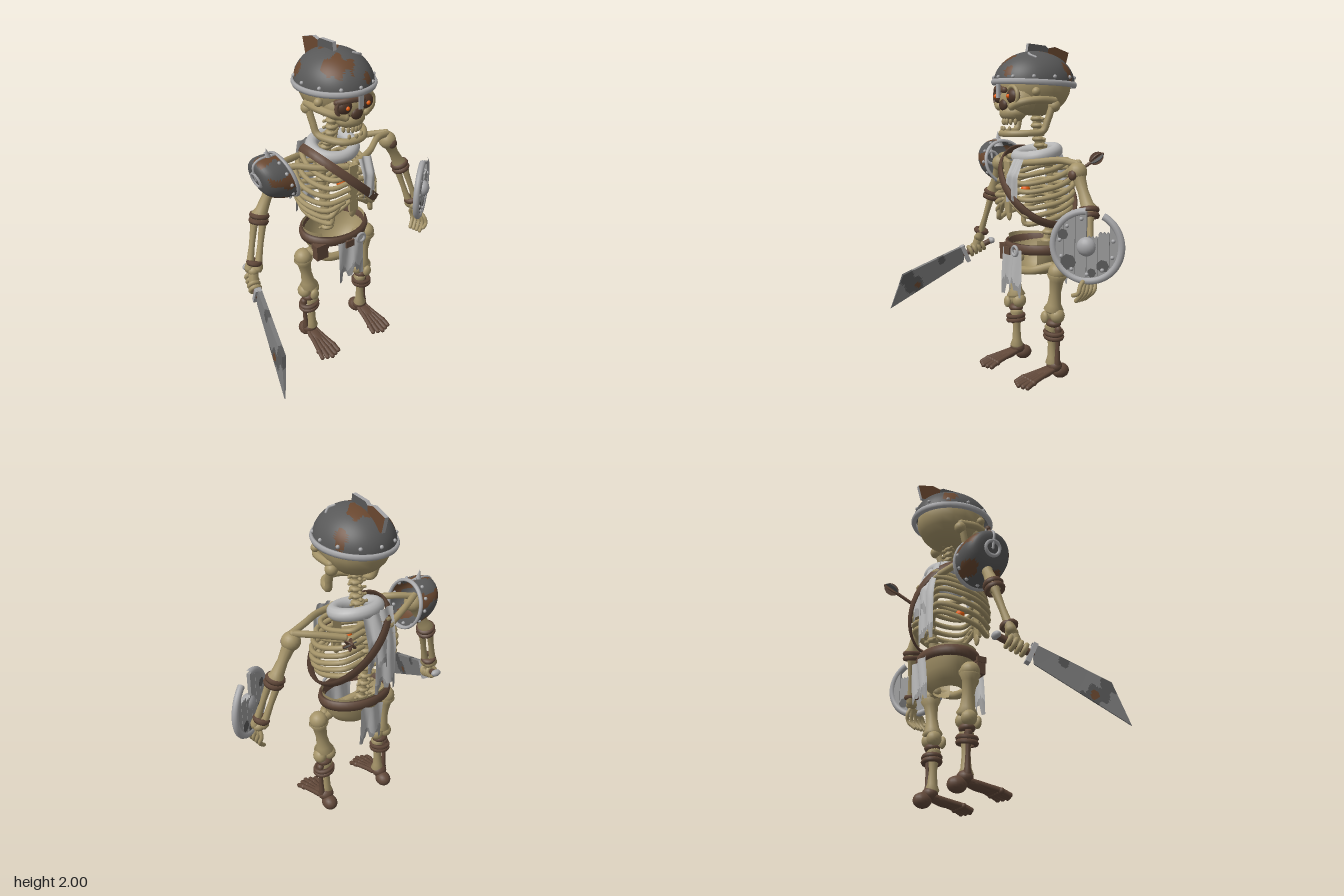
import * as THREE from 'three';
import { mergeGeometries } from 'three/addons/utils/BufferGeometryUtils.js';

const V = (x, y, z) => new THREE.Vector3(x, y, z);
const UP = V(0, 1, 0);

export function createModel() {
  const root = new THREE.Group();
  const mat = (name, color, side = THREE.FrontSide) => {
    const m = new THREE.MeshStandardMaterial({ color, side });
    m.name = name;
    return m;
  };
  const bone = mat('bone', 0xa59469, THREE.DoubleSide), brown = mat('leather brown', 0x614839);
  const iron = mat('dark iron', 0x585858, THREE.DoubleSide), rust = mat('rust', 0x69472f, THREE.DoubleSide);
  const steel = mat('light steel', 0xa6a6a8), cloth = mat('pale cloth', 0xb8b8b8, THREE.DoubleSide);
  const plank = mat('grey plank', 0x989898, THREE.DoubleSide), blade = mat('blade grey', 0x7c7c7c);
  const socket = mat('socket brown', 0x4f382b), glow = mat('ember orange', 0xff6a10);

  const add = (name, geo, m, parent = root) => {
    const mesh = new THREE.Mesh(geo, m);
    mesh.name = name;
    parent.add(mesh);
    return mesh;
  };
  const ball = (name, m, p, rx, ry = rx, rz = rx, parent = root) => {
    const mesh = add(name, new THREE.SphereGeometry(1, 18, 12), m, parent);
    mesh.position.copy(p);
    mesh.scale.set(rx, ry, rz);
    return mesh;
  };
  const tube = (name, m, pts, r, seg = 20) => {
    const geo = new THREE.TubeGeometry(new THREE.CatmullRomCurve3(pts), seg, r, 8);
    const cap = p => new THREE.SphereGeometry(r, 8, 6).translate(p.x, p.y, p.z);
    return add(name, mergeGeometries([geo, cap(pts[0]), cap(pts[pts.length - 1])]), m);
  };
  // Straight bone, swollen at both ends
  const longBone = (name, m, a, b, r) => {
    const L = a.distanceTo(b);
    const prof = [[0, -.05], [1.1, -.03], [1.5, .04], [1.05, .18], [.85, .5], [1.05, .82], [1.5, .96], [1.1, 1.03], [0, 1.05]];
    const mesh = add(name, new THREE.LatheGeometry(prof.map(p => new THREE.Vector2(p[0] * r, p[1] * L)), 14), m);
    mesh.position.copy(a);
    mesh.quaternion.setFromUnitVectors(UP, b.clone().sub(a).normalize());
  };
  // Flat oval hoop around an axis
  const hoop = (name, m, p, axis, rx, rz, h, t = .02) => {
    const pts = [[1 - t / rx, -h], [1, -h], [1 + t / rx * .3, 0], [1, h], [1 - t / rx, h], [1 - t / rx, -h]];
    const mesh = add(name, new THREE.LatheGeometry(pts.map(q => new THREE.Vector2(q[0], q[1])), 40), m);
    mesh.scale.set(rx, 1, rz);
    mesh.position.copy(p);
    mesh.quaternion.setFromUnitVectors(UP, axis.clone().normalize());
  };
  // Sort triangles into material groups by their centre
  const patchy = (geo, count, pick) => {
    const pos = geo.attributes.position, idx = geo.index.array, lists = Array.from({ length: count }, () => []);
    for (let i = 0; i < idx.length; i += 3) {
      const c = V(0, 0, 0);
      for (let k = 0; k < 3; k++) c.add(new THREE.Vector3().fromBufferAttribute(pos, idx[i + k]));
      lists[pick(c.divideScalar(3))].push(idx[i], idx[i + 1], idx[i + 2]);
    }
    geo.setIndex(lists.flat());
    geo.clearGroups();
    let start = 0;
    lists.forEach((l, i) => { geo.addGroup(start, l.length, i); start += l.length; });
    return geo;
  };
  const near = (p, spots) => spots.some(([x, y, z, r]) =>
    p.distanceTo(V(x, y, z)) < r * (1 + .25 * Math.sin(p.x * 70 + p.z * 40) + .15 * Math.sin(p.z * 90)));
  // Hanging rag with a torn, soiled lower edge
  const rag = (name, x0, x1, top, bottom, zAt, tear) => {
    const geo = new THREE.PlaneGeometry(1, 1, 16, 16), p = geo.attributes.position;
    for (let i = 0; i < p.count; i++) {
      const u = p.getX(i) + .5, t = .5 - p.getY(i), col = Math.floor(u * 5.99);
      const low = bottom + tear * ((col * 3) % 5) / 4;
      p.setXYZ(i, x0 + (x1 - x0) * u, top + (low - top) * t, zAt(t) + .01 * Math.sin(u * 10 + t * 2));
    }
    geo.computeVertexNormals();
    const soil = c => c.y < bottom + tear * 1.1 + .025 * Math.sin(c.x * 75) ? 1 : 0;
    add(name, patchy(geo, 2, soil), [cloth, blade2]);
  };
  const blade2 = plank;

  // Skull
  ball('cranium', bone, V(0, 1.755, -.145), .197, .18, .215);
  ball('face', bone, V(0, 1.67, -.02), .145, .1, .105);
  ball('upper jaw', bone, V(0, 1.595, .015), .09, .055, .075);
  ball('nose hole', socket, V(0, 1.64, .078), .038, .034, .02);
  for (const s of [-1, 1]) {
    ball('eye socket', socket, V(s * .072, 1.69, .055), .052, .045, .036);
    ball('eye', glow, V(s * .07, 1.69, .088), .013);
    add('socket rim', new THREE.TorusGeometry(.055, .012, 8, 24), s < 0 ? brown : bone).position.set(s * .072, 1.69, .062);
    tube('cheekbone', bone, [V(s * .07, 1.63, .065), V(s * .13, 1.655, .04), V(s * .175, 1.67, -.05), V(s * .17, 1.665, -.16)], .023);
    ball('jaw joint', bone, V(s * .165, 1.635, -.165), .036);
    ball('temple', bone, V(s * .18, 1.715, -.03), .025);
  }
  tube('brow', brown, [V(-.12, 1.725, .055), V(-.06, 1.735, .085), V(.03, 1.725, .09)], .018);
  const jaw = [[.165, 1.63, -.15], [.155, 1.55, -.125], [.145, 1.49, -.1], [.115, 1.478, -.01], [.06, 1.475, .055]];
  tube('jaw', bone, [...jaw.map(p => V(-p[0], p[1], p[2])), V(0, 1.475, .07), ...jaw.reverse().map(p => V(...p))], .021, 48);
  for (let i = -3; i <= 3; i++) {
    ball('upper tooth', bone, V(i * .02, 1.545, .07 - i * i * .004), .011, .02, .011);
    if (i % 2 === 0) ball('lower tooth', bone, V(i * .021, 1.503, .075 - i * i * .003), .011, .016, .01);
  }

  // Helmet
  const dome = new THREE.SphereGeometry(1, 56, 28, 0, Math.PI * 2, 0, Math.PI / 2).scale(.215, .19, .25).translate(0, 1.765, -.135);
  add('helmet dome', patchy(dome, 2, p => near(p, [[-.07, 1.9, 0, .075], [.03, 1.95, -.2, .065], [-.17, 1.85, -.24, .05],
    [.06, 1.83, .07, .03], [.17, 1.84, -.26, .05]]) ? 1 : 0), [iron, rust]);
  hoop('helmet rim', steel, V(0, 1.765, -.135), V(0, 1, -.04), .225, .258, .016, .02);
  for (let i = 0; i < 12; i++) {
    const a = i / 12 * Math.PI * 2;
    ball('helmet rivet', steel, V(.213 * Math.sin(a), 1.8, -.135 + .247 * Math.cos(a)), .011);
  }
  add('nose guard', new THREE.BoxGeometry(.028, .09, .012), steel).position.set(0, 1.725, .113);
  // Crest plate, rusted towards the back
  [[iron, [[.09, 1.93], [.1, 1.998], [.22, 1.99], [.24, 1.975], [.24, 1.91]]],
    [rust, [[.24, 1.91], [.24, 1.975], [.29, 1.985], [.39, 1.955], [.365, 1.865], [.3, 1.87]]]].forEach(([m, pts]) => {
    const shape = new THREE.Shape(pts.map(p => new THREE.Vector2(...p)));
    add('helmet crest', new THREE.ExtrudeGeometry(shape, { depth: .024, bevelEnabled: false }).rotateY(Math.PI / 2).translate(-.032, 0, 0), [m, steel]);
  });
  tube('helmet gash', steel, [V(.07, 1.935, -.05), V(.1, 1.925, -.04), V(.13, 1.91, -.06)], .007);

  // Spine
  const spine = new THREE.CatmullRomCurve3([V(0, 1.6, -.15), V(0, 1.42, -.17), V(0, 1.25, -.255), V(0, 1, -.265), V(0, .76, -.22)]);
  for (let i = 0; i <= 18; i++) {
    const p = spine.getPoint(i / 18);
    ball('vertebra', bone, p, .042, .02, .036);
    tube('vertebra spine', bone, [p, V(0, p.y - .015, p.z - .042)], .01, 3);
    tube('vertebra wings', bone, [V(-.052, p.y, p.z - .01), V(.052, p.y, p.z - .01)], .009, 3);
  }
  tube('spinal column', bone, spine.getPoints(8), .026);

  // Rib cage, collar bones and shoulder blades
  add('sternum', new THREE.BoxGeometry(.06, .3, .022), bone).position.set(0, 1.16, .045);
  ball('sternum tip', bone, V(0, 1, .04), .025, .04, .012);
  ball('heart ember', glow, V(0, 1.14, -.075), .028);
  for (const s of [-1, 1]) {
    [.17, .205, .23, .245, .245, .235, .215].forEach((r, i) => {
      const y = 1.31 - i * .046, low = Math.max(0, i - 3);
      tube('rib', bone, [V(s * .02, y, -.27), V(s * r * .7, y + .005, -.3), V(s * r, y - .035, -.18), V(s * r * .97, y - .06, -.07),
        V(s * r * .68, y - .075, .025), V(s * (.03 + low * .035), y - .06 + low * .015, .048 - low * .008)], .0155, 28);
    });
    tube('rib cartilage', bone, [V(s * .02, 1.08, .045), V(s * .07, 1.05, .04), V(s * .13, 1, .015)], .013);
    tube('collar bone', bone, [V(s * .03, 1.3, .025), V(s * .18, 1.315, -.03), V(s * .3, 1.33, -.11), V(s * .41, 1.315, -.15)], .02);
    tube('shoulder blade ridge', bone, [V(s * .41, 1.32, -.16), V(s * .31, 1.31, -.22), V(s * .16, 1.28, -.29)], .02);
  }

  // Scarf, chest strap and stuck arrow
  const scarf = add('scarf collar', new THREE.TorusGeometry(.13, .039, 12, 40).rotateX(Math.PI / 2).scale(1, 1, .9), cloth);
  scarf.position.set(0, 1.355, -.155);
  scarf.rotation.x = .22;
  rag('scarf front end', .045, .14, 1.33, 1.08, t => .035 + .045 * Math.min(1, t * 2.5), .015);
  rag('scarf back end', -.16, -.01, 1.38, .87, t => -.285 - .055 * Math.sin(Math.min(1, t * 1.8) * 1.57), .07);
  rag('scarf back layer', -.1, .05, 1.37, 1.04, t => -.295 - .055 * Math.min(1, t * 2), .05);
  hoop('chest strap', brown, V(.035, 1.165, -.14), V(.7, .72, 0), .31, .232, .026, .012);
  tube('arrow shaft', brown, [V(.14, 1.16, -.21), V(.235, 1.35, -.47)], .01, 4);
  for (let i = 0; i < 3; i++) {
    const f = add('arrow feather', new THREE.CylinderGeometry(.036, .036, .006, 16).rotateX(Math.PI / 2).scale(1, 1.3, 1), i ? brown : iron);
    f.position.set(.222, 1.325, -.435);
    f.quaternion.setFromUnitVectors(UP, V(.095, .19, -.26).normalize());
    f.rotateY(i * Math.PI / 3);
  }

  // Pelvis, belt and loincloth
  const bowl = [[.5, .63], [.72, .66], [.92, .72], [.98, .79], [1.03, .85]].map(p => new THREE.Vector2(...p));
  add('pelvis', new THREE.LatheGeometry(bowl, 40, .85, Math.PI * 2 - 1.7).scale(.205, 1, .15).translate(0, 0, -.155), bone);
  hoop('belt', brown, V(0, .8, -.155), V(0, 1, .06), .225, .17, .028, .025);
  for (const s of [-1, 1]) tube('pubic bone', bone, [V(s * .2, .7, -.13), V(s * .13, .67, -.05), V(0, .65, -.035)], .026);
  rag('front loincloth', -.095, .1, .79, .5, t => .024 + .006 * t, .08);
  rag('back loincloth', -.08, .08, .79, .54, t => -.335 + .01 * t, .06);
  add('belt pouch', new THREE.BoxGeometry(.08, .09, .05), brown).position.set(-.175, .73, -.05);
  add('pouch flap', new THREE.BoxGeometry(.088, .035, .058), brown).position.set(-.175, .77, -.05);
  add('buckle ring', new THREE.TorusGeometry(.028, .009, 8, 20), steel).position.set(.065, .785, .042);
  add('belt plate', new THREE.BoxGeometry(.06, .045, .012), brown).position.set(-.02, .775, .042);

  // Legs and feet
  for (const s of [-1, 1]) {
    ball('hip joint', bone, V(s * .245, .67, -.14), .055);
    tube('hip neck', bone, [V(s * .245, .67, -.14), V(s * .17, .69, -.14)], .032, 4);
    longBone('thigh bone', bone, V(s * .245, .66, -.14), V(s * .208, .43, -.14), .04);
    for (const k of [-1, 1]) ball('knee knuckle', bone, V(s * .21 + k * .033, .405, -.145), .04, .045, .045);
    ball('kneecap', bone, V(s * .21, .4, -.075), .03, .037, .02);
    ball('shin head', brown, V(s * .21, .355, -.14), .05, .028, .045);
    longBone('shin bone', bone, V(s * .195, .34, -.135), V(s * .2, .1, -.14), .028);
    longBone('outer shin bone', brown, V(s * .245, .33, -.15), V(s * .235, .1, -.15), .015);
    for (const y of [.3, .275]) hoop('shin wrap', brown, V(s * .212, y, -.14), V(s * .12, 1, .05), .062, .056, .012);
    ball('ankle', brown, V(s * .207, .09, -.15), .05, .04, .045);
    ball('heel', brown, V(s * .207, .05, -.195), .047, .045, .055);
    ball('instep', brown, V(s * .207, .055, -.08), .045, .024, .085).rotation.x = .25;
    for (let k = -2; k <= 2; k++) {
      tube('toe bone', brown, [V(s * .207 + k * .012, .075, -.14), V(s * .207 + k * .02, .052, -.04), V(s * .207 + k * .028, .032, .04), V(s * .207 + k * .031, .014, .105 - Math.abs(k) * .012)], .015, 12);
      ball('toe knuckle', brown, V(s * .207 + k * .028, .032, .035), .018);
    }
  }

  // Arms
  for (const s of [-1, 1]) {
    const shoulder = V(s * .415, 1.27, -.15), elbow = V(s * .525, 1.06, -.15), wrist = V(s * .615, .755, -.1);
    const down = wrist.clone().sub(elbow);
    ball('shoulder joint', bone, shoulder, .055);
    longBone('upper arm', bone, shoulder, elbow, .035);
    ball('elbow', bone, elbow, .042);
    for (const k of [-1, 1]) {
      const off = V(k * .02, 0, k * .014);
      longBone('forearm bone', bone, elbow.clone().add(off), wrist.clone().add(off), .02);
    }
    for (const t of [-.03, .07]) hoop('elbow wrap', brown, elbow.clone().addScaledVector(down, t), down, .053, .053, .014);
    hoop('wrist wrap', brown, elbow.clone().addScaledVector(down, .85), down, .045, .042, .014);
    ball('wrist', bone, wrist, .037, .03, .035);
  }
  ball('shoulder stain', brown, V(.425, 1.255, -.108), .03, .03, .02);

  // Open left hand
  for (let k = 0; k < 5; k++) tube('finger', bone, [V(.615, .74, -.1), V(.615 + k * .006, .69, -.125 + k * .028), V(.625 + k * .004, .645, -.115 + k * .03),
    V(.585 + k * .006, .595 + (k > 3 ? .035 : 0), -.085 + k * .025)], .012, 12);

  // Right fist and sword
  const grip = V(-.12, -.21, .45).normalize(), hilt = V(-.652, .645, -.01);
  tube('sword grip', brown, [hilt, hilt.clone().addScaledVector(grip, -.19)], .02, 4);
  ball('pommel', steel, hilt.clone().addScaledVector(grip, -.2), .034, .022, .022);
  const guard = add('sword guard', new THREE.BoxGeometry(.04, .12, .026), steel);
  guard.position.copy(hilt);
  guard.quaternion.setFromUnitVectors(V(0, 0, 1), grip);
  for (let k = 0; k < 4; k++) {
    const f = add('gripping finger', new THREE.TorusGeometry(.029, .013, 8, 16), bone);
    f.position.copy(hilt).addScaledVector(grip, -.04 - k * .03);
    f.quaternion.setFromUnitVectors(V(0, 0, 1), grip);
  }
  tube('palm', bone, [V(-.615, .755, -.1), V(-.625, .72, -.09), V(-.63, .69, -.08)], .03, 6);
  const [P1, P2, P3, P4] = [V(-.645, .705, 0), V(-.745, .53, .41), V(-.795, .3, .48), V(-.66, .585, 0)];
  const flat = P2.clone().sub(P1).cross(P1.clone().sub(P4)).normalize();
  const steelGeo = new THREE.BoxGeometry(1, 1, 1, 40, 16, 1), bp = steelGeo.attributes.position;
  for (let i = 0; i < bp.count; i++) {
    const s = bp.getX(i) + .5, t = bp.getY(i) + .5;
    const p = P4.clone().lerp(P1, t).lerp(P3.clone().lerp(P2, t), s).addScaledVector(flat, bp.getZ(i) * (.006 + .02 * t));
    bp.setXYZ(i, p.x, p.y, p.z);
  }
  steelGeo.computeVertexNormals();
  add('sword blade', patchy(steelGeo, 3, p => near(p, [[-.745, .45, .31, .03]]) ? 2
    : near(p, [[-.745, .45, .32, .07], [-.75, .51, .38, .05], [-.69, .62, .16, .03]]) ? 1 : 0), [blade, iron, rust]);

  // Right shoulder armour, a blunt oval dome sheared into place
  const M = new THREE.Matrix4().makeBasis(V(-.036, .135, 0), V(-.175, .018, 0), V(0, 0, .145)).setPosition(-.35, 1.28, -.15);
  const capProfile = new THREE.SplineCurve([[1, 0], [.99, .4], [.88, .75], [.6, .96], [0, 1]].map(p => new THREE.Vector2(...p))).getPoints(16);
  const plates = p => Math.sin(Math.atan2(p.z, p.x) * 5 + .8) + .5 * Math.sin(p.y * 7 + p.x * 3) > .25 && p.y < .85 ? 1 : 0;
  add('shoulder guard', patchy(new THREE.LatheGeometry(capProfile, 48), 2, plates).applyMatrix4(M), [iron, rust]);
  add('shoulder guard rim', new THREE.TorusGeometry(1, .07, 8, 40).rotateX(Math.PI / 2).applyMatrix4(M), steel);
  add('shoulder guard disc rim', new THREE.TorusGeometry(.3, .07, 6, 30).rotateX(Math.PI / 2).translate(0, .99, 0).applyMatrix4(M), steel);
  tube('shoulder guard ridge', steel, capProfile.map(p => V(p.x, p.y, 0).applyMatrix4(M)), .008);
  for (let i = 0; i < 12; i++) {
    const a = i / 12 * Math.PI * 2;
    ball('shoulder rivet', steel, V(.99 * Math.cos(a), .2, .99 * Math.sin(a)).applyMatrix4(M), .011);
  }
  const spike = add('shoulder spike', new THREE.ConeGeometry(.032, .1, 10), steel);
  spike.position.set(-.445, 1.425, -.15);
  spike.rotation.z = .15;

  // Broken round shield on the left forearm
  const shield = new THREE.Group();
  shield.name = 'shield';
  shield.position.set(.63, .895, -.06);
  shield.rotation.y = .66;
  root.add(shield);
  const R = .187;
  for (let i = 0; i < 6; i++) {
    const a = -R + i * R / 3 + .0015, b = a + R / 3 - .003, pts = [], top = i === 3 ? .045 : i === 4 ? .07 : 1;
    const h = x => Math.sqrt(Math.max(0, R * R - x * x));
    for (let k = 0; k <= 6; k++) { const x = a + (b - a) * k / 6; pts.push(new THREE.Vector2(x, -h(x))); }
    for (let k = 6; k >= 0; k--) { const x = a + (b - a) * k / 6; pts.push(new THREE.Vector2(x, Math.min(h(x), top + (k % 2) * .012))); }
    add('shield plank', new THREE.ExtrudeGeometry(new THREE.Shape(pts), { depth: .02, bevelEnabled: false }), plank, shield);
  }
  add('shield rim', new THREE.TorusGeometry(R, .02, 10, 60, Math.PI * 11 / 6).rotateZ(Math.PI * .51).translate(0, 0, .01), steel, shield);
  ball('shield boss', steel, V(0, 0, .022), .052, .052, .04, shield);
  for (const [x, y, r] of [[-.1, -.09, .045], [.09, -.1, .035], [-.13, .06, .03], [.03, -.14, .025]])
    for (const z of [.0215, -.0015]) add('shield stain', new THREE.CircleGeometry(r, 7), iron, shield).position.set(x, y, z);
  for (let i = 0; i < 9; i++) {
    const a = Math.PI * (.56 + i * .19);
    ball('shield rivet', steel, V(.15 * Math.cos(a), .15 * Math.sin(a), .022), .011, .011, .011, shield);
  }
  return root;
}
